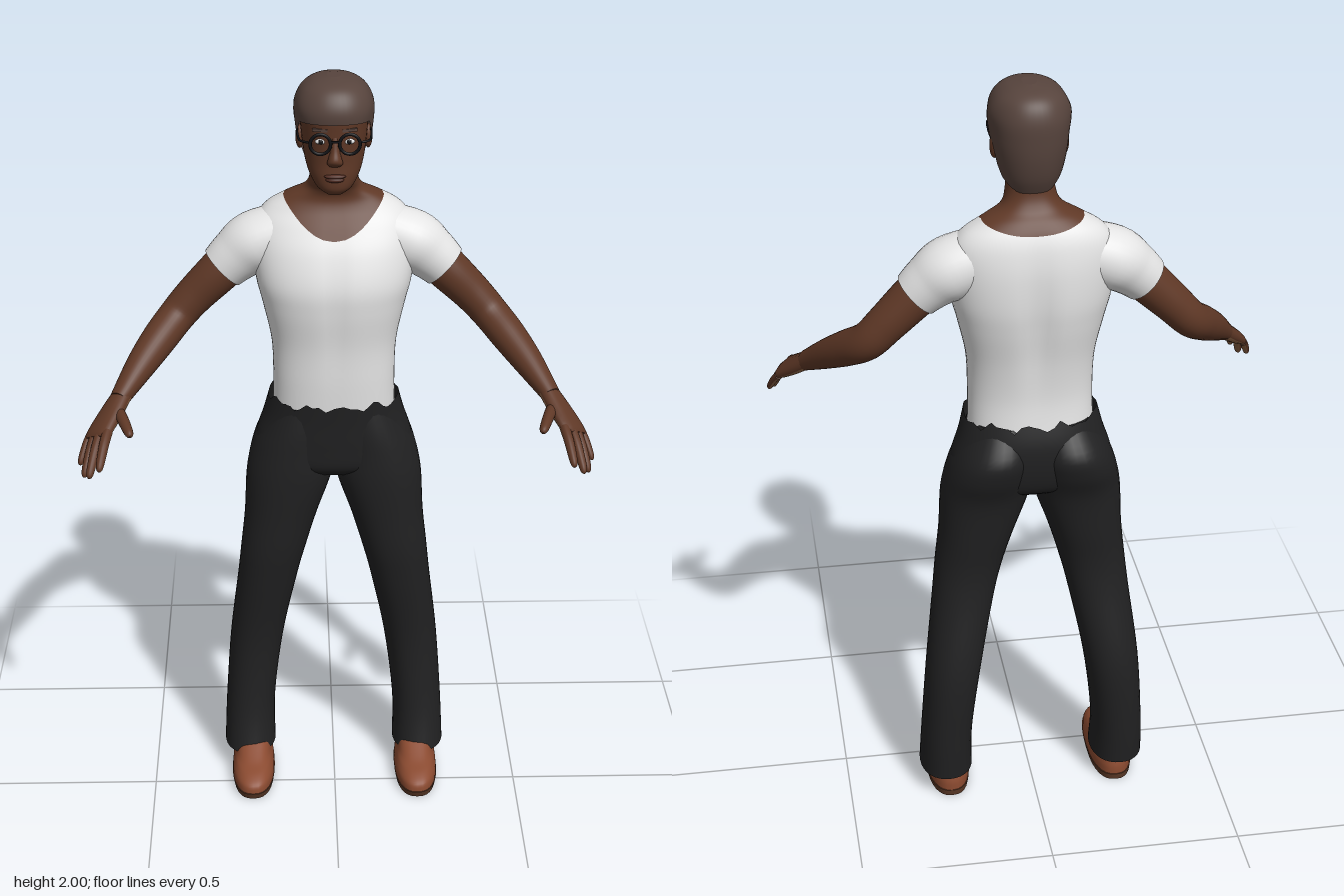
import * as THREE from 'three';

const mat = (name, color) => {
  const m = new THREE.MeshStandardMaterial({ color, side: THREE.DoubleSide });
  m.name = name;
  return m;
};
const V = (x, y, z) => new THREE.Vector3(x, y, z);

// Catmull-Rom smoothing of cross-section rows
function smooth(rows, n) {
  const out = [];
  const at = i => rows[Math.max(0, Math.min(rows.length - 1, i))];
  for (let i = 0; i < rows.length - 1; i++) {
    for (let k = 0; k < n; k++) {
      const t = k / n, [a, b, c, d] = [at(i - 1), at(i), at(i + 1), at(i + 2)];
      out.push(b.map((_, j) => {
        const cubic = 3 * (b[j] - c[j]) + d[j] - a[j];
        const square = 2 * a[j] - 5 * b[j] + 4 * c[j] - d[j];
        return b[j] + 0.5 * t * (c[j] - a[j] + t * (square + t * cubic));
      }));
    }
  }
  out.push(at(rows.length - 1));
  return out;
}

// Skin closed rings: rows are [x, y, z, halfWidth, halfDepth].
// Rings lie flat, or stand square to the path when a width direction w is given.
function loft(rows, { sides = 32, n = 5, p = 2, w = null, warp = null } = {}) {
  const rings = smooth(rows, n), pos = [], idx = [];
  const centre = r => V(r[0], r[1], r[2]);
  rings.forEach((r, i) => {
    let u = V(1, 0, 0), v = V(0, 0, 1);
    if (w) {
      const t = centre(rings[Math.min(i + 1, rings.length - 1)]).sub(centre(rings[Math.max(i - 1, 0)])).normalize();
      u = w.clone().addScaledVector(t, -w.dot(t)).normalize();
      v = u.clone().cross(t);
    }
    for (let j = 0; j < sides; j++) {
      const a = j / sides * Math.PI * 2, c = Math.cos(a), s = Math.sin(a);
      const pt = centre(r)
        .addScaledVector(u, r[3] * Math.sign(c) * Math.abs(c) ** (2 / p))
        .addScaledVector(v, r[4] * Math.sign(s) * Math.abs(s) ** (2 / p));
      if (warp) warp(pt);
      pos.push(pt.x, pt.y, pt.z);
    }
  });
  for (let i = 0; i < rings.length - 1; i++) {
    for (let j = 0; j < sides; j++) {
      const k = (j + 1) % sides, a = i * sides + j, b = i * sides + k;
      idx.push(a, a + sides, b, b, a + sides, b + sides);
    }
  }
  // End caps with their own corners
  for (const end of [0, rings.length - 1]) {
    const base = pos.length / 3, from = end * sides * 3;
    pos.push(...pos.slice(from, from + sides * 3), ...rings[end].slice(0, 3));
    for (let j = 0; j < sides; j++) {
      const a = base + j, b = base + (j + 1) % sides;
      idx.push(base + sides, ...(end ? [b, a] : [a, b]));
    }
  }
  const g = new THREE.BufferGeometry();
  g.setAttribute('position', new THREE.Float32BufferAttribute(pos, 3));
  g.setIndex(idx);
  g.computeVertexNormals();
  return g;
}

// Cut a geometry along f(point, normal) = 0; returns [f >= 0, f < 0]
function split(geo, f) {
  const P = geo.attributes.position, N = geo.attributes.normal, I = geo.index.array;
  const corner = i => {
    const p = V().fromBufferAttribute(P, i), n = V().fromBufferAttribute(N, i);
    return { p, n, f: f(p, n) };
  };
  return [1, -1].map(sign => {
    const pos = [], nor = [];
    for (let i = 0; i < I.length; i += 3) {
      const tri = [0, 1, 2].map(k => corner(I[i + k])), poly = [];
      tri.forEach((a, k) => {
        const b = tri[(k + 1) % 3], inA = a.f * sign >= 0, inB = b.f * sign >= 0;
        if (inA) poly.push(a);
        if (inA !== inB) {
          const t = a.f / (a.f - b.f);
          poly.push({ p: a.p.clone().lerp(b.p, t), n: a.n.clone().lerp(b.n, t) });
        }
      });
      for (let k = 2; k < poly.length; k++) {
        for (const c of [poly[0], poly[k - 1], poly[k]]) {
          pos.push(c.p.x, c.p.y, c.p.z);
          nor.push(c.n.x, c.n.y, c.n.z);
        }
      }
    }
    const g = new THREE.BufferGeometry();
    g.setAttribute('position', new THREE.Float32BufferAttribute(pos, 3));
    g.setAttribute('normal', new THREE.Float32BufferAttribute(nor, 3));
    return g;
  });
}

// Flat ring from centre x, height, half-width, front z and back z
const ring = (x, y, hw, zf, zb) => [x, y, (zf + zb) / 2, hw, (zf - zb) / 2];

export function createModel() {
  const model = new THREE.Group();
  const skin = mat('skin', 0x5f3826), palmSkin = mat('palm skin', 0x8a6244), hairMat = mat('hair', 0x57443d);
  const white = mat('shirt white', 0xe4e4e4), black = mat('trouser black', 0x212122), leather = mat('shoe leather', 0x8a4a30);
  const soleMat = mat('shoe sole', 0x5a3826), frame = mat('glasses black', 0x101114), lip = mat('lips', 0x4e2a20);
  const add = (name, geo, material, x = 0, y = 0, z = 0) => {
    const m = new THREE.Mesh(geo, material);
    m.name = name;
    m.position.set(x, y, z);
    model.add(m);
    return m;
  };
  const ball = (name, material, x, y, z, sx, sy, sz) =>
    add(name, new THREE.SphereGeometry(1, 20, 14), material, x, y, z).scale.set(sx, sy, sz);

  // Torso and neck, cut along the scooped neckline
  const torso = loft([
    ring(0, 1.11, 0.16, 0, -0.225), ring(0, 1.2, 0.158, 0.004, -0.217), ring(0, 1.3, 0.162, 0.007, -0.226),
    ring(0, 1.4, 0.183, 0.018, -0.244), ring(0, 1.47, 0.2, 0.017, -0.252), ring(0, 1.55, 0.207, -0.01, -0.25),
    ring(0, 1.61, 0.2, -0.045, -0.24), ring(0, 1.65, 0.172, -0.073, -0.226), ring(0, 1.68, 0.122, -0.083, -0.207),
    ring(0, 1.705, 0.075, -0.075, -0.185), ring(0, 1.74, 0.06, -0.048, -0.17), ring(0, 1.8, 0.056, -0.04, -0.165),
  ], { sides: 64, n: 6, p: 2.35, warp: p => {
    const h = Math.exp(-(((p.y - 1.42) / 0.16) ** 2));
    // Spine groove behind, shallow breastbone groove in front
    if (p.z < -0.13) p.z += 0.016 * h * Math.exp(-((p.x / 0.035) ** 2));
    else p.z -= 0.006 * h * Math.exp(-((p.x / 0.025) ** 2));
  } });
  const [neck, shirt] = split(torso, p => {
    const k = (p.x / 0.13) ** 2;
    return p.y - (p.z > -0.14 ? 1.585 + 0.095 * k : 1.655 + 0.025 * k);
  });
  add('neck', neck, skin);
  add('shirt', shirt, white);

  // Trouser hips with an uneven waist edge
  const hips = loft([
    ring(0, 0.93, 0.14, -0.04, -0.2), ring(0, 0.96, 0.205, -0.008, -0.235), ring(0, 1.02, 0.206, 0, -0.252),
    ring(0, 1.09, 0.184, 0.004, -0.253), ring(0, 1.16, 0.166, 0.01, -0.234),
  ], { sides: 64, p: 2.3 });
  add('hips', split(hips, p => 1.142 - p.y + 0.008 * Math.sin(p.x * 75) + 0.006 * Math.sin(p.x * 140 + p.z * 40))[0], black);

  for (const s of [1, -1]) {
    const side = s > 0 ? 'left' : 'right';
    const M = rows => rows.map(([x, ...rest]) => [x * s, ...rest]);
    const dir = (x, y, z) => V(x * s, y, z).normalize();

    // Trouser leg: height, inner x, outer x, front z, back z
    const leg = [
      [0.07, 0.165, 0.306, -0.03, -0.226], [0.2, 0.165, 0.3, -0.055, -0.238], [0.4, 0.14, 0.285, -0.06, -0.245],
      [0.6, 0.1, 0.261, -0.03, -0.213], [0.7, 0.075, 0.25, -0.015, -0.206], [0.8, 0.045, 0.239, -0.008, -0.218],
      [0.92, 0.004, 0.232, 0, -0.235], [1.0, 0, 0.214, 0, -0.267], [1.06, 0, 0.188, -0.002, -0.272],
      [1.13, 0.01, 0.148, -0.01, -0.222],
    ].map(([y, a, b, f, k]) => ring(s * (a + b) / 2, y, (b - a) / 2, f, k));
    add(side + 'TrouserLeg', loft(leg, { p: 2.2 }), black);

    // Shoe
    const fx = 0.227 * s;
    add(side + 'Sole', loft([ring(fx, 0, 0.056, 0.09, -0.208), ring(fx, 0.018, 0.059, 0.096, -0.21)], { n: 1, p: 2.5 }), soleMat);
    add(side + 'Shoe', loft([
      ring(fx, 0.017, 0.058, 0.094, -0.208), ring(fx, 0.038, 0.057, 0.088, -0.207), ring(fx, 0.055, 0.052, 0.06, -0.203),
      ring(fx, 0.07, 0.048, 0.015, -0.198), ring(fx, 0.1, 0.045, -0.045, -0.19),
    ], { p: 2.4 }), leather);

    // Sleeve and arm
    const along = V(0, 0, 1);
    add(side + 'Sleeve', loft(M([
      [0.11, 1.58, -0.14, 0.075, 0.075], [0.2, 1.55, -0.138, 0.084, 0.08],
      [0.25, 1.515, -0.134, 0.071, 0.07], [0.285, 1.483, -0.131, 0.062, 0.062],
    ]), { w: along }), white);
    add(side + 'Arm', loft(M([
      [0.25, 1.515, -0.133, 0.058, 0.058], [0.3, 1.467, -0.13, 0.057, 0.055], [0.36, 1.407, -0.128, 0.052, 0.05],
      [0.405, 1.358, -0.115, 0.05, 0.047], [0.45, 1.315, -0.06, 0.047, 0.045], [0.495, 1.27, 0.005, 0.04, 0.038],
      [0.547, 1.213, 0.088, 0.029, 0.024],
    ]), { w: along }), skin);

    // Hand: palm, four fingers and thumb, lighter on the palm side
    const across = dir(0.043, -0.02, -0.04), palmDir = dir(-0.0042, -0.0059, -0.0016);
    const handPart = (name, rows) => {
      const [inner, back] = split(loft(M(rows), { sides: 16, n: 4, w: across, p: 2.2 }), (p, n) => n.dot(palmDir) - 0.35);
      add(side + name + 'Inner', inner, palmSkin);
      add(side + name + 'Back', back, skin);
    };
    handPart('Palm', [[0.54, 1.22, 0.078, 0.028, 0.022], [0.565, 1.19, 0.118, 0.037, 0.021],
      [0.594, 1.157, 0.167, 0.043, 0.017], [0.602, 1.147, 0.182, 0.036, 0.01]]);
    const digit = (name, a, b, r, bend) => {
      const at = (t, k) => [...a.map((v, i) => v + (b[i] - v) * t + (i === 1 ? bend * Math.sin(t * Math.PI) : 0)), r * k, r * k];
      handPart(name, [at(0, 1.1), at(0.4, 1.05), at(0.8, 0.9), at(0.95, 0.65), at(1, 0.2)]);
    };
    digit('IndexFinger', [0.572, 1.167, 0.185], [0.59, 1.1, 0.277], 0.0115, 0.008);
    digit('MiddleFinger', [0.592, 1.156, 0.178], [0.616, 1.078, 0.268], 0.0115, 0.008);
    digit('RingFinger', [0.606, 1.147, 0.167], [0.631, 1.067, 0.238], 0.011, 0.008);
    digit('LittleFinger', [0.618, 1.143, 0.147], [0.644, 1.082, 0.198], 0.0095, 0.006);
    digit('Thumb', [0.55, 1.195, 0.115], [0.512, 1.175, 0.232], 0.0135, 0.004);

    // Ear, eye and brow
    ball(side + 'Ear', skin, 0.085 * s, 1.843, -0.095, 0.011, 0.031, 0.019);
    ball(side + 'Eye', white, 0.035 * s, 1.86, 0.009, 0.014, 0.007, 0.006);
    ball(side + 'Iris', frame, 0.035 * s, 1.86, 0.0135, 0.006, 0.006, 0.003);
    add(side + 'Brow', new THREE.BoxGeometry(0.038, 0.007, 0.008), hairMat, 0.036 * s, 1.889, 0.01).rotation.y = 0.25 * s;

    // Round lens rim and temple
    add(side + 'LensRim', new THREE.TorusGeometry(0.025, 0.0042, 8, 28), frame, 0.036 * s, 1.86, 0.032);
    const temple = new THREE.CatmullRomCurve3([[0.061, 0.03], [0.083, 0.015], [0.091, -0.04], [0.092, -0.1]]
      .map(([x, z]) => V(x * s, 1.864, z)));
    add(side + 'Temple', new THREE.TubeGeometry(temple, 16, 0.003, 6), frame);
  }
  add('glassesBridge', new THREE.BoxGeometry(0.024, 0.005, 0.005), frame, 0, 1.866, 0.034);

  // Head, nose and lips
  add('head', loft([
    ring(0, 1.718, 0.022, -0.004, -0.06), ring(0, 1.735, 0.045, 0.01, -0.09), ring(0, 1.765, 0.063, 0.013, -0.13),
    ring(0, 1.8, 0.074, 0.012, -0.165), ring(0, 1.84, 0.08, 0.015, -0.19), ring(0, 1.88, 0.084, 0.018, -0.197),
    ring(0, 1.92, 0.086, 0.018, -0.196), ring(0, 1.96, 0.072, 0, -0.18), ring(0, 1.985, 0.035, -0.05, -0.14),
  ], { sides: 48, p: 2.2 }), skin);
  add('nose', loft([
    [0, 1.797, 0.012, 0.013, 0.006], [0, 1.806, 0.016, 0.02, 0.017], [0, 1.818, 0.017, 0.017, 0.021],
    [0, 1.84, 0.014, 0.011, 0.014], [0, 1.872, 0.011, 0.008, 0.007],
  ], { sides: 20 }), skin);
  ball('upperLip', lip, 0, 1.771, 0.01, 0.027, 0.006, 0.011);
  ball('lowerLip', lip, 0, 1.762, 0.009, 0.023, 0.007, 0.011);

  // Short hair, cut along a hairline that drops behind the ears
  const hairline = [[0.05, 1.908], [-0.03, 1.9], [-0.055, 1.865], [-0.085, 1.862], [-0.115, 1.85], [-0.13, 1.78], [-0.16, 1.745], [-0.3, 1.74]];
  const lineAt = z => {
    const i = Math.max(1, hairline.findIndex(h => h[0] <= z));
    const [[z0, y0], [z1, y1]] = [hairline[i - 1], hairline[i]];
    return y0 + (y1 - y0) * (z - z0) / (z1 - z0);
  };
  const hair = loft([
    ring(0, 1.735, 0.06, -0.03, -0.165), ring(0, 1.78, 0.077, 0, -0.188), ring(0, 1.83, 0.088, 0.015, -0.202),
    ring(0, 1.88, 0.096, 0.025, -0.208), ring(0, 1.93, 0.099, 0.03, -0.208), ring(0, 1.968, 0.084, 0.014, -0.194),
    ring(0, 1.99, 0.056, -0.015, -0.166), ring(0, 2.0, 0.018, -0.065, -0.12),
  ], { sides: 48, n: 8, p: 2.2, warp: p => { p.x *= 1 + 0.012 * Math.sin(p.z * 60 + p.y * 40); } });
  add('hair', split(hair, p => p.y - lineAt(p.z))[0], hairMat);

  return model;
}
